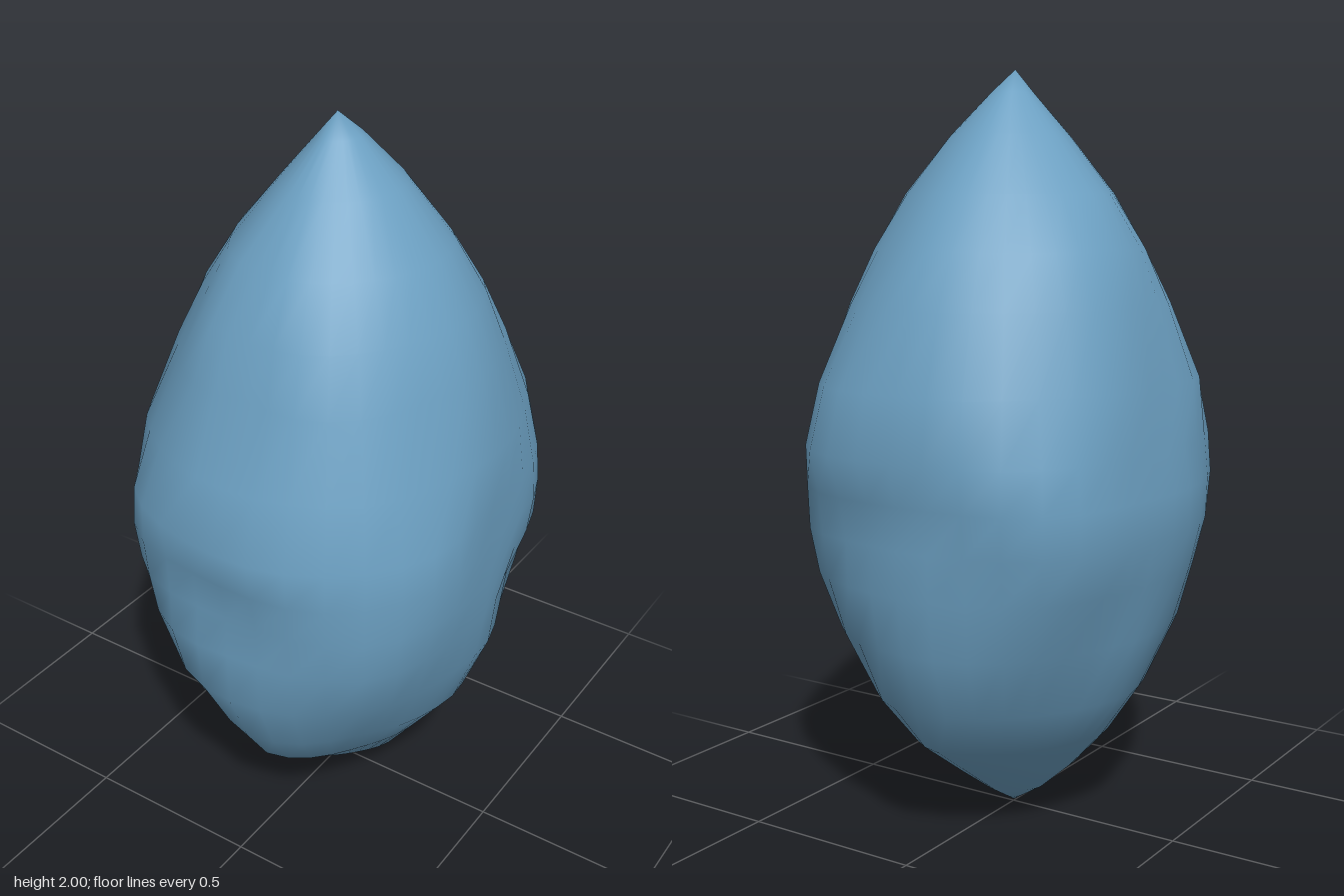
import * as THREE from 'three';

const SEGMENTS = 36;

// Cross-sections: height, reach to -x, +x, +z, -z, and squareness
// (1 = diamond, 2 = ellipse, higher = squarer)
const SECTIONS = [
  [0.06, 0.09, 0.09, 0.10, 0.09, 1.5],
  [0.14, 0.18, 0.20, 0.21, 0.20, 1.6],
  [0.25, 0.28, 0.28, 0.365, 0.35, 1.6],
  [0.38, 0.37, 0.38, 0.45, 0.45, 1.7],
  [0.55, 0.43, 0.44, 0.52, 0.50, 2.1],
  [0.70, 0.46, 0.465, 0.525, 0.52, 2.55],
  [0.82, 0.482, 0.475, 0.522, 0.525, 2.8],
  [0.93, 0.482, 0.475, 0.535, 0.53, 2.85],
  [1.04, 0.467, 0.472, 0.552, 0.558, 2.65],
  [1.20, 0.455, 0.46, 0.50, 0.53, 2.4],
  [1.40, 0.405, 0.41, 0.44, 0.455, 2.1],
  [1.54, 0.355, 0.365, 0.39, 0.38, 1.9],
  [1.68, 0.27, 0.29, 0.31, 0.29, 1.8],
  [1.83, 0.145, 0.17, 0.18, 0.17, 1.8],
  [1.94, 0.05, 0.06, 0.07, 0.06, 1.8],
];

// Chips and bulges: angle in degrees (0 = +x, 90 = +z), height,
// angular width, height spread, depth (negative = bulge)
const CHIPS = [
  [88, 1.36, 10, 0.09, 0.03],
  [97, 1.70, 11, 0.07, 0.02],
  [107, 0.88, 12, 0.06, 0.02],
  [136, 0.63, 12, 0.10, 0.04],
  [135, 1.48, 16, 0.14, 0.02],
  [60, 0.62, 8, 0.10, 0.02],
  [45, 0.45, 14, 0.10, 0.02],
  [30, 1.25, 14, 0.10, 0.02],
  [205, 0.60, 16, 0.12, 0.03],
  [229, 1.18, 15, 0.14, 0.035],
  [248, 0.72, 10, 0.09, 0.025],
  [283, 0.86, 10, 0.07, 0.02],
  [300, 1.30, 14, 0.10, 0.02],
  [332, 0.70, 14, 0.12, 0.035],
  [160, 1.15, 10, 0.12, -0.012],
];

function chipDepth(angle, y) {
  let depth = 0;
  for (const [a, h, width, spread, d] of CHIPS) {
    const turn = ((angle - a + 540) % 360) - 180;
    depth += d * Math.exp(-((turn / width) ** 2) - ((y - h) / spread) ** 2);
  }
  return depth;
}

// Gentle uneven surface, fading out at the tips
function ripple(t, y) {
  const fade = Math.sin((Math.PI * y) / 2);
  return 0.005 * fade * (Math.sin(5 * t + 6 * y) + Math.sin(7 * t - 9 * y + 1));
}

function stoneGeometry() {
  const positions = [0.005, 0, 0.01];
  const index = [];
  for (const [y, left, right, front, back, n] of SECTIONS) {
    const lean = y / 2;
    for (let i = 0; i < SEGMENTS; i++) {
      const t = (i / SEGMENTS) * Math.PI * 2;
      const c = Math.cos(t), s = Math.sin(t);
      const a = c < 0 ? left : right;
      const b = s < 0 ? back : front;
      let r = (Math.abs(c / a) ** n + Math.abs(s / b) ** n) ** (-1 / n);
      r += ripple(t, y) - chipDepth((t * 180) / Math.PI, y);
      positions.push(r * c + 0.004 * lean, y, r * s + 0.006 * lean);
    }
  }
  positions.push(0.01, 2, 0.025);

  const ring = (k, i) => 1 + k * SEGMENTS + (i % SEGMENTS);
  const last = SECTIONS.length - 1;
  const top = positions.length / 3 - 1;
  for (let i = 0; i < SEGMENTS; i++) {
    index.push(0, ring(0, i), ring(0, i + 1));
    for (let k = 0; k < last; k++) {
      const a = ring(k, i), b = ring(k, i + 1);
      const c = ring(k + 1, i + 1), d = ring(k + 1, i);
      index.push(a, d, b, b, d, c);
    }
    index.push(ring(last, i), top, ring(last, i + 1));
  }

  const geometry = new THREE.BufferGeometry();
  geometry.setAttribute('position', new THREE.Float32BufferAttribute(positions, 3));
  geometry.setIndex(index);
  geometry.computeVertexNormals();
  return geometry;
}

export function createModel() {
  const group = new THREE.Group();
  group.name = 'pointedStone';
  const blueStone = new THREE.MeshStandardMaterial({ color: 0x6ca0c2 });
  blueStone.name = 'blueStone';
  const stone = new THREE.Mesh(stoneGeometry(), blueStone);
  stone.name = 'stone';
  group.add(stone);
  return group;
}
